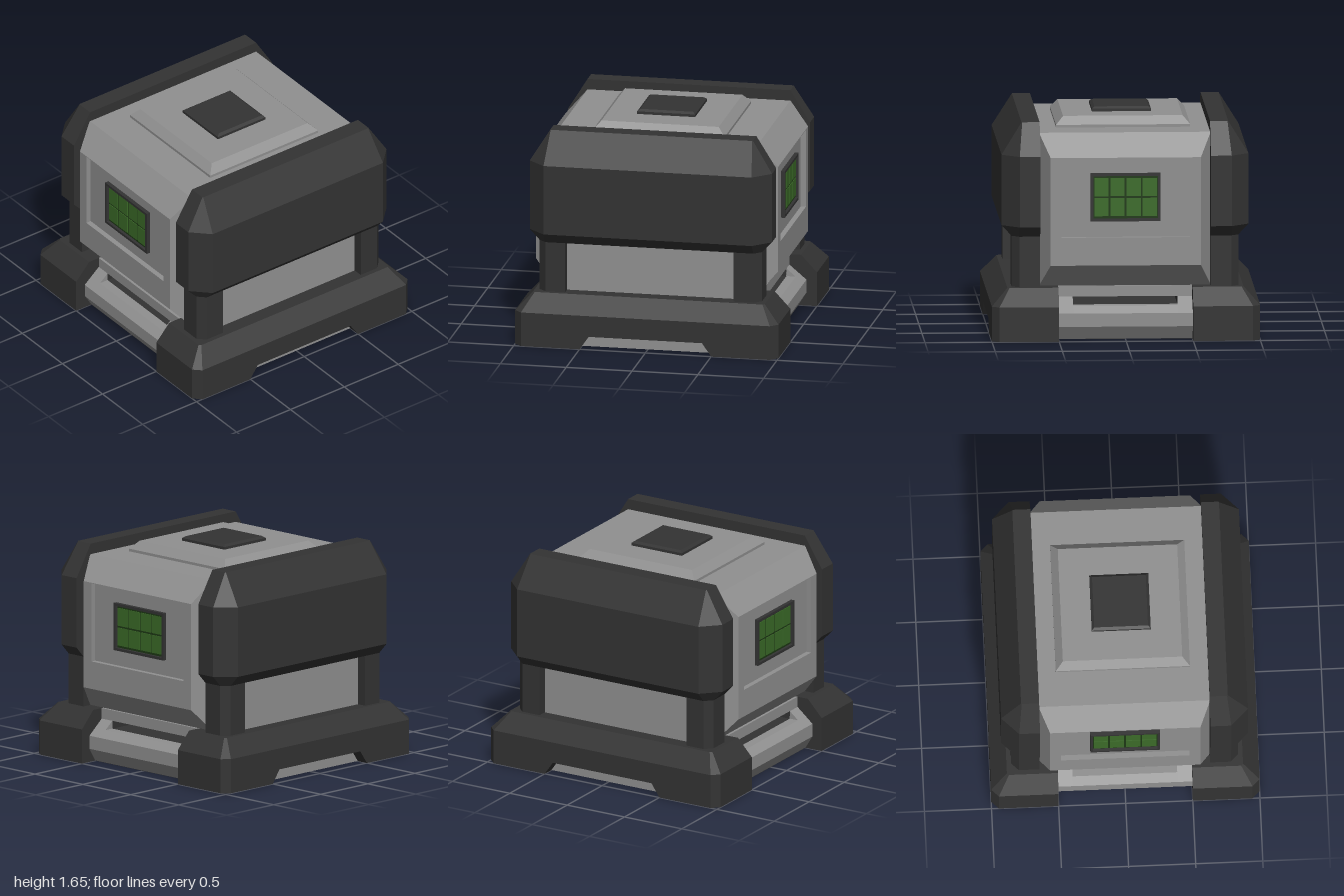
import * as THREE from 'three';

const mat = (name, color) => {
  const m = new THREE.MeshStandardMaterial({ color });
  m.name = name;
  return m;
};

// Closed faceted solid through a list of convex rings of [x, y, z] points
function loft(rings) {
  const pos = [];
  const tri = (a, b, c) => pos.push(...a, ...b, ...c);
  const n = rings[0].length;
  for (let r = 0; r < rings.length - 1; r++) {
    const A = rings[r], B = rings[r + 1];
    for (let i = 0; i < n; i++) {
      const j = (i + 1) % n;
      tri(A[i], A[j], B[j]);
      tri(A[i], B[j], B[i]);
    }
  }
  const first = rings[0], last = rings[rings.length - 1];
  for (let i = 1; i < n - 1; i++) {
    tri(first[0], first[i + 1], first[i]);
    tri(last[0], last[i], last[i + 1]);
  }
  // Turn the faces outward when the rings run the other way
  let volume = 0;
  const a = new THREE.Vector3(), b = new THREE.Vector3(), c = new THREE.Vector3();
  for (let i = 0; i < pos.length; i += 9) {
    a.fromArray(pos, i); b.fromArray(pos, i + 3); c.fromArray(pos, i + 6);
    volume += a.dot(b.cross(c));
  }
  if (volume < 0) {
    for (let i = 0; i < pos.length; i += 9) {
      for (let k = 0; k < 3; k++) [pos[i + 3 + k], pos[i + 6 + k]] = [pos[i + 6 + k], pos[i + 3 + k]];
    }
  }
  const g = new THREE.BufferGeometry();
  g.setAttribute('position', new THREE.Float32BufferAttribute(pos, 3));
  g.computeVertexNormals();
  return g;
}

const boxGeo = (x0, x1, y0, y1, z0, z1) =>
  new THREE.BoxGeometry(x1 - x0, y1 - y0, z1 - z0).translate((x0 + x1) / 2, (y0 + y1) / 2, (z0 + z1) / 2);

// Horizontal ring: a bar behind z = back, with chamfered front corners
const barRing = (y, back, X, c) =>
  [[-X, y, back], [X, y, back], [X, y, c], [c, y, X], [-c, y, X], [-X, y, c]];
const squareRing = (y, s) => [[-s, y, -s], [s, y, -s], [s, y, s], [-s, y, s]];
// Upright ring on the side of the body
const sideRing = (x, y0, y1, z) => [[x, y0, -z], [x, y1, -z], [x, y1, z], [x, y0, z]];
// Profile of [x, y] points carried along z
const alongZ = (profile, z0, z1) => loft([z0, z1].map(z => profile.map(([x, y]) => [x, y, z])));

export function createModel() {
  const dark = mat('charcoal', 0x333333);
  const grey = mat('grey', 0x909090);
  const green = mat('screen green', 0x3b6b28);
  const deepGreen = mat('grid green', 0x1d3814);

  const model = new THREE.Group();
  model.name = 'container';
  const add = (parent, name, geo, material) => {
    const m = new THREE.Mesh(geo, material);
    m.name = name;
    parent.add(m);
    return m;
  };

  // Central body and floor, with an open slot between them
  add(model, 'body', boxGeo(-0.77, 0.77, 0.39, 1.54, -0.64, 0.64), grey);
  add(model, 'bodyNeck', boxGeo(-0.79, 0.79, 0.31, 0.39, -0.5, 0.5), grey);
  add(model, 'floor', boxGeo(-0.86, 0.86, 0, 0.25, -0.5, 0.5), dark);

  // Lid plate and top button
  add(model, 'lidPlate', loft([squareRing(1.53, 0.5), squareRing(1.56, 0.5), squareRing(1.62, 0.445)]), grey);
  add(model, 'topButton', loft([squareRing(1.61, 0.22), squareRing(1.64, 0.22), squareRing(1.655, 0.2)]), dark);

  // Front and back ends
  for (const turn of [0, Math.PI]) {
    const end = new THREE.Group();
    end.name = turn ? 'backEnd' : 'frontEnd';
    end.rotation.y = turn;
    model.add(end);

    add(end, 'upperGuard', loft([
      barRing(0.77, 0.635, 0.845, 0.79), barRing(0.85, 0.635, 0.92, 0.79),
      barRing(1.38, 0.635, 0.92, 0.79), barRing(1.62, 0.635, 0.77, 0.765),
    ]), dark);
    add(end, 'endPanel', boxGeo(-0.65, 0.65, 0.38, 0.78, 0.6, 0.77), grey);
    add(end, 'baseBeam', loft([
      barRing(0.1, 0.5, 1, 0.945), barRing(0.26, 0.5, 1, 0.945), barRing(0.39, 0.5, 0.88, 0.865),
    ]), dark);
    add(end, 'baseFoot', boxGeo(-1, 1, 0, 0.1, 0.5, 0.9), dark);
    add(end, 'slotEnd', boxGeo(-0.79, 0.79, 0.25, 0.31, 0.39, 0.5), dark);

    // Grey wall at the back of the floor notch
    add(end, 'notchWall', loft([
      [[-0.5, 0.001, 0.9], [0.5, 0.001, 0.9], [0.43, 0.1, 0.9], [-0.43, 0.1, 0.9]],
      [[-0.5, 0.001, 0.905], [0.5, 0.001, 0.905], [0.43, 0.1, 0.905], [-0.43, 0.1, 0.905]],
    ]), grey);

    for (const s of [-1, 1]) {
      // Corner pillar
      const pillar = y => [[0.64, 0.6], [0.845, 0.6], [0.845, 0.79], [0.79, 0.845], [0.64, 0.845]]
        .map(([x, z]) => [s * x, y, Math.max(z, 0.635)]);
      add(end, 'cornerPillar', loft([pillar(0.38), pillar(0.78)]), dark);
      // Foot beside the notch
      const foot = (y, inner) => [[inner, 0.9], [1, 0.9], [1, 0.945], [0.945, 1], [inner, 1]]
        .map(([x, z]) => [s * x, y, z]);
      add(end, 'cornerFoot', loft([foot(0, 0.5), foot(0.1, 0.43)]), dark);
    }
  }

  // Left and right sides
  for (const turn of [0, Math.PI]) {
    const side = new THREE.Group();
    side.name = turn ? 'rightSide' : 'leftSide';
    side.rotation.y = turn;
    model.add(side);

    // Bulging side with a recessed panel
    add(side, 'sidePanel', loft([
      sideRing(0.77, 0.39, 1.54, 0.64), sideRing(0.92, 0.56, 1.37, 0.56),
      sideRing(0.92, 0.77, 1.365, 0.48), sideRing(0.88, 0.77, 1.365, 0.48),
    ]), grey);

    // Faceted sill, raised at both ends of the slot
    add(side, 'sill', alongZ([[0.79, 0.002], [0.86, 0.002], [0.92, 0.1], [0.92, 0.2], [0.861, 0.251], [0.79, 0.251]], -0.39, 0.39), grey);
    for (const [z0, z1] of [[-0.5, -0.39], [0.39, 0.5]]) {
      add(side, 'sillEnd', alongZ([[0.785, 0.002], [0.86, 0.002], [0.92, 0.1], [0.92, 0.2], [0.79, 0.31], [0.785, 0.31]], z0, z1), grey);
    }

    // Window: frame bars, grid backing and eight panes
    for (const s of [-1, 1]) {
      const y = s > 0 ? 1.23 : 0.89;
      add(side, 'windowFrame', boxGeo(0.87, 0.91, y, y + 0.02, -0.26, 0.26), dark);
      const z = s > 0 ? 0.24 : -0.26;
      add(side, 'windowFrame', boxGeo(0.87, 0.91, 0.91, 1.23, z, z + 0.02), dark);
    }
    add(side, 'windowGrid', boxGeo(0.88, 0.888, 0.91, 1.23, -0.24, 0.24), deepGreen);
    for (let i = 0; i < 4; i++) {
      for (let j = 0; j < 2; j++) {
        const z = -0.18 + i * 0.12, y = 0.995 + j * 0.15;
        add(side, 'windowPane', boxGeo(0.887, 0.893, y - 0.068, y + 0.068, z - 0.053, z + 0.053), green);
      }
    }
  }
  return model;
}
